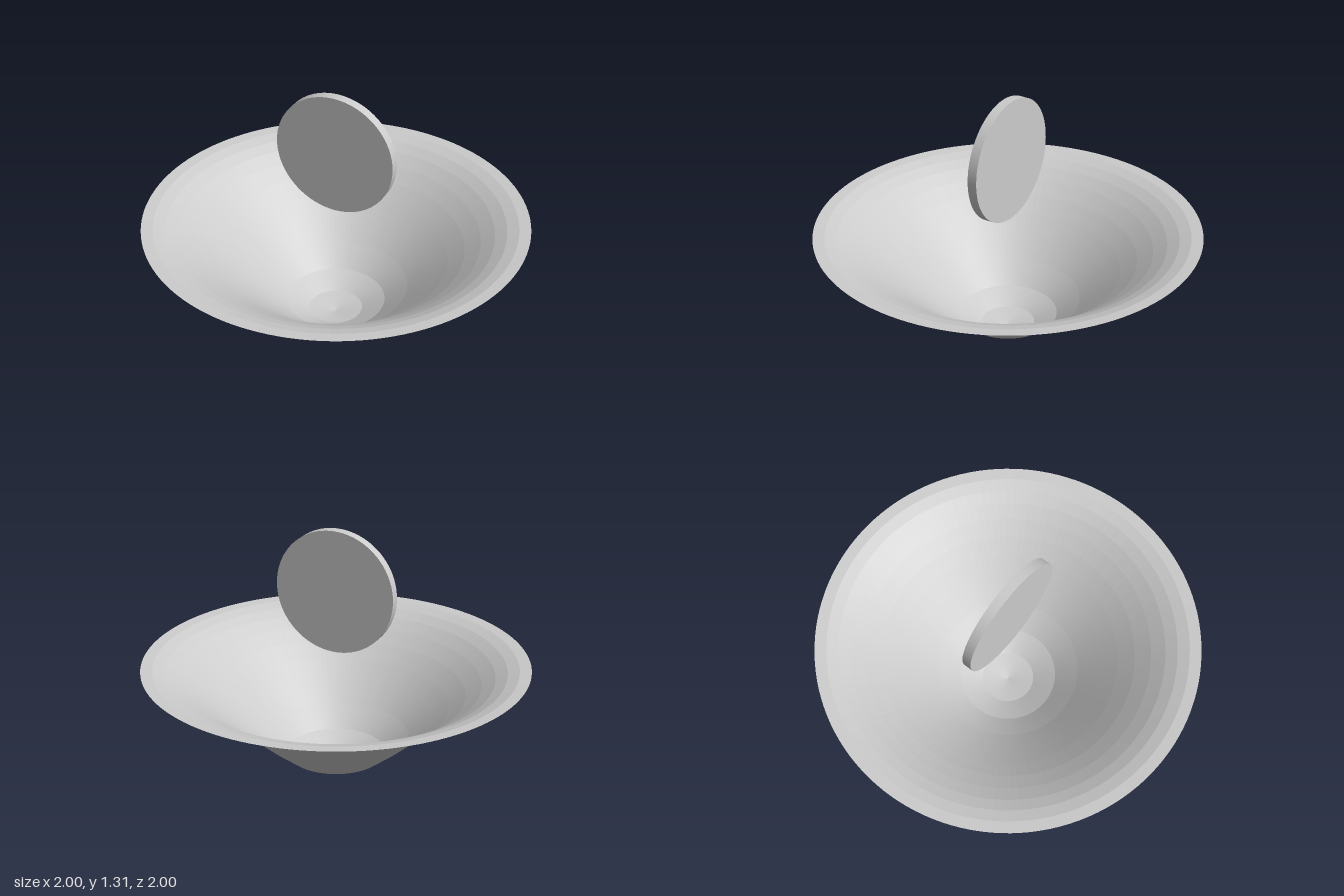
import * as THREE from 'three';

export function createModel() {
  const model = new THREE.Group();

  // Open flared bowl: rounded bottom, straight flank, rim easing out flat
  const profile = [
    [0, 0], [0.14, 0.025], [0.26, 0.085], [0.38, 0.183], [0.49, 0.281], [0.585, 0.365],
    [0.67, 0.437], [0.75, 0.498], [0.82, 0.545], [0.88, 0.576], [0.94, 0.595], [1, 0.6],
  ].map(([r, y]) => new THREE.Vector2(r, y));
  const bowl = new THREE.Mesh(
    new THREE.LatheGeometry(profile, 128),
    new THREE.MeshStandardMaterial({ color: 0xcccccc, flatShading: true, side: THREE.DoubleSide })
  );
  bowl.name = 'bowl';
  model.add(bowl);

  // Upright disc floating above the bowl, faces toward front and back
  const disc = new THREE.Mesh(
    new THREE.CylinderGeometry(0.323, 0.323, 0.05, 96).rotateX(Math.PI / 2),
    new THREE.MeshStandardMaterial({ color: 0xcccccc })
  );
  disc.name = 'disc';
  disc.position.y = 0.988;
  model.add(disc);

  return model;
}
